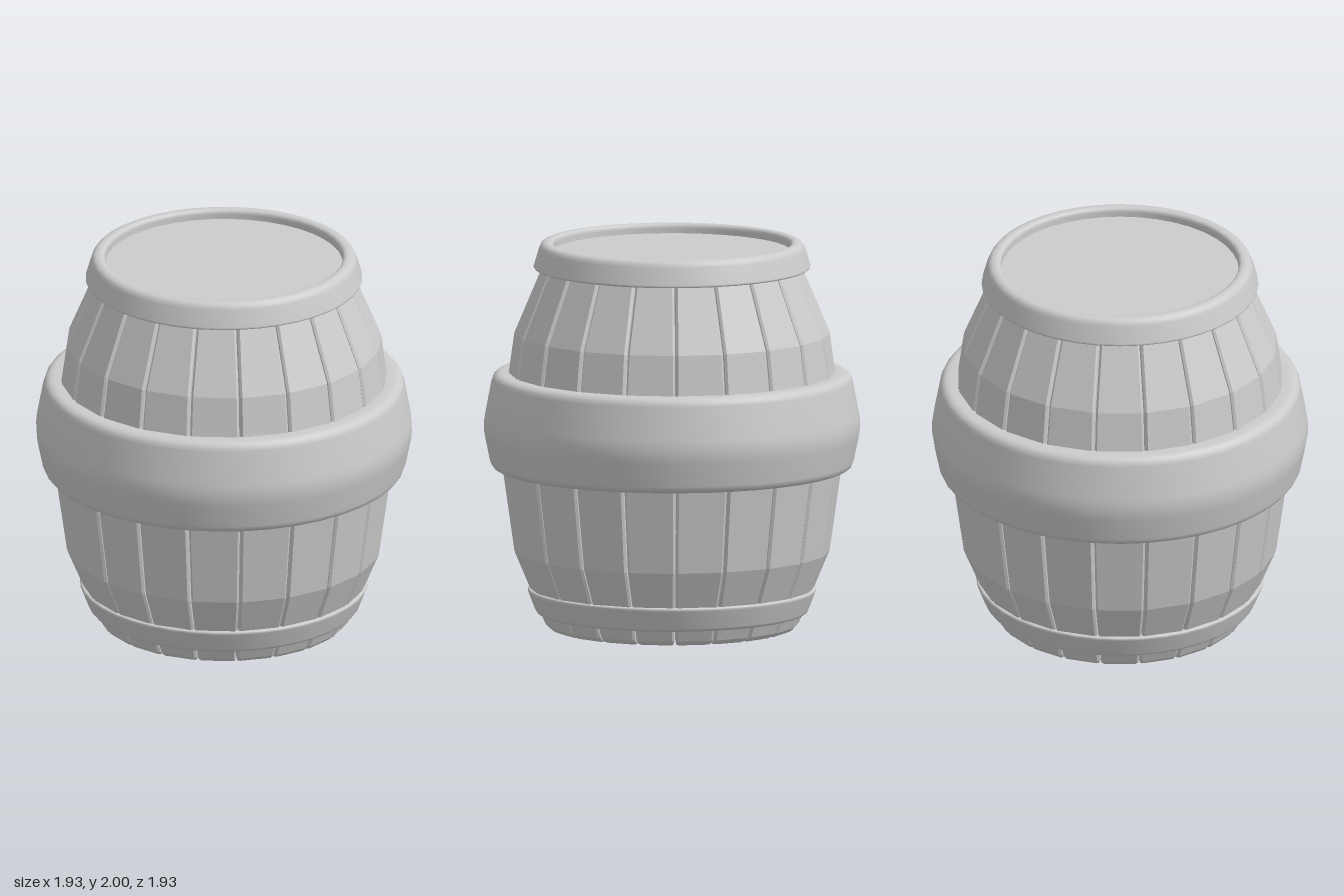
import * as THREE from 'three';

const material = new THREE.MeshStandardMaterial({ color: 0xcccccc });
const flatMaterial = new THREE.MeshStandardMaterial({ color: 0xcccccc, flatShading: true });

const STAVES = 20;
const HALF = Math.PI / STAVES;
const THICK = 0.14;

// One bulging plank: chamfered cross-sections lofted upwards, capped at both ends
function staveGeometry() {
  // [height, outer radius, end inset]
  const rows = [
    [0, 0.64, 0.022], [0.008, 0.645, 0.008], [0.025, 0.652, 0], [0.4, 0.81, 0], [0.965, 0.89, 0],
    [1.53, 0.81, 0], [1.905, 0.652, 0], [1.93, 0.64, 0.022],
  ];
  const c = 0.012, gap = 0.003;
  const loops = rows.map(([y, radius, inset]) => {
    const ro = radius - inset, ri = radius - THICK + inset;
    const side = gap + inset * 0.45;
    const zo = ro * Math.cos(HALF), zi = ri * Math.cos(HALF);
    const wo = ro * Math.sin(HALF) - side, wi = ri * Math.sin(HALF) - side;
    return [
      [-wo + c, zo], [wo - c, zo], [wo - 0.002, zo - c],
      [wi, zi], [-wi, zi], [-wo + 0.002, zo - c],
    ].map(([x, z]) => [x, y, z]);
  });
  const pos = [];
  const tri = (a, b, d) => pos.push(...a, ...b, ...d);
  const n = loops[0].length;
  for (let i = 0; i < loops.length - 1; i++) {
    for (let j = 0; j < n; j++) {
      const k = (j + 1) % n;
      tri(loops[i][j], loops[i][k], loops[i + 1][k]);
      tri(loops[i][j], loops[i + 1][k], loops[i + 1][j]);
    }
  }
  const bottom = loops[0], top = loops[loops.length - 1];
  for (let j = 1; j < n - 1; j++) {
    tri(bottom[0], bottom[j + 1], bottom[j]);
    tri(top[0], top[j], top[j + 1]);
  }
  const geometry = new THREE.BufferGeometry();
  geometry.setAttribute('position', new THREE.Float32BufferAttribute(pos, 3));
  geometry.computeVertexNormals();
  return geometry;
}

// Closed ring turned from corners [radius, height, rounding], outer side listed bottom to top
function hoop(name, corners) {
  const pts = [];
  corners.forEach(([r, y, round], i) => {
    const p = new THREE.Vector2(r, y);
    const toward = (q) => {
      const d = new THREE.Vector2(q[0], q[1]).sub(p);
      return p.clone().add(d.setLength(Math.min(round, d.length() * 0.48)));
    };
    const prev = corners[(i + corners.length - 1) % corners.length];
    const next = corners[(i + 1) % corners.length];
    pts.push(...new THREE.QuadraticBezierCurve(toward(prev), p, toward(next)).getPoints(4));
  });
  pts.push(pts[0].clone());
  const mesh = new THREE.Mesh(new THREE.LatheGeometry(pts, 40), material);
  mesh.name = name;
  return mesh;
}

export function createModel() {
  const barrel = new THREE.Group();
  barrel.name = 'barrel';

  // Ring of planks with a seam facing the front
  const staves = new THREE.Group();
  staves.name = 'staves';
  const geometry = staveGeometry();
  for (let i = 0; i < STAVES; i++) {
    const stave = new THREE.Mesh(geometry, flatMaterial);
    stave.name = 'stave';
    stave.rotation.y = (i * 2 + 1) * HALF;
    staves.add(stave);
  }
  barrel.add(staves);

  // Hoops
  barrel.add(hoop('bottomHoop', [
    [0.64, 0.08, 0.01], [0.695, 0.08, 0.02], [0.745, 0.21, 0.02], [0.69, 0.21, 0.01],
  ]));
  barrel.add(hoop('middleHoop', [
    [0.82, 0.83, 0.01], [0.925, 0.83, 0.04], [0.97, 1.05, 0.06],
    [0.918, 1.325, 0.045], [0.82, 1.325, 0.01],
  ]));
  barrel.add(hoop('topHoop', [
    [0.61, 1.865, 0.01], [0.713, 1.865, 0.015], [0.673, 2, 0.035], [0.61, 2, 0.025],
  ]));

  // Sunken lid
  const lid = new THREE.Mesh(new THREE.CylinderGeometry(0.615, 0.615, 0.02, 40), material);
  lid.name = 'lid';
  lid.position.y = 1.94;
  barrel.add(lid);

  return barrel;
}
